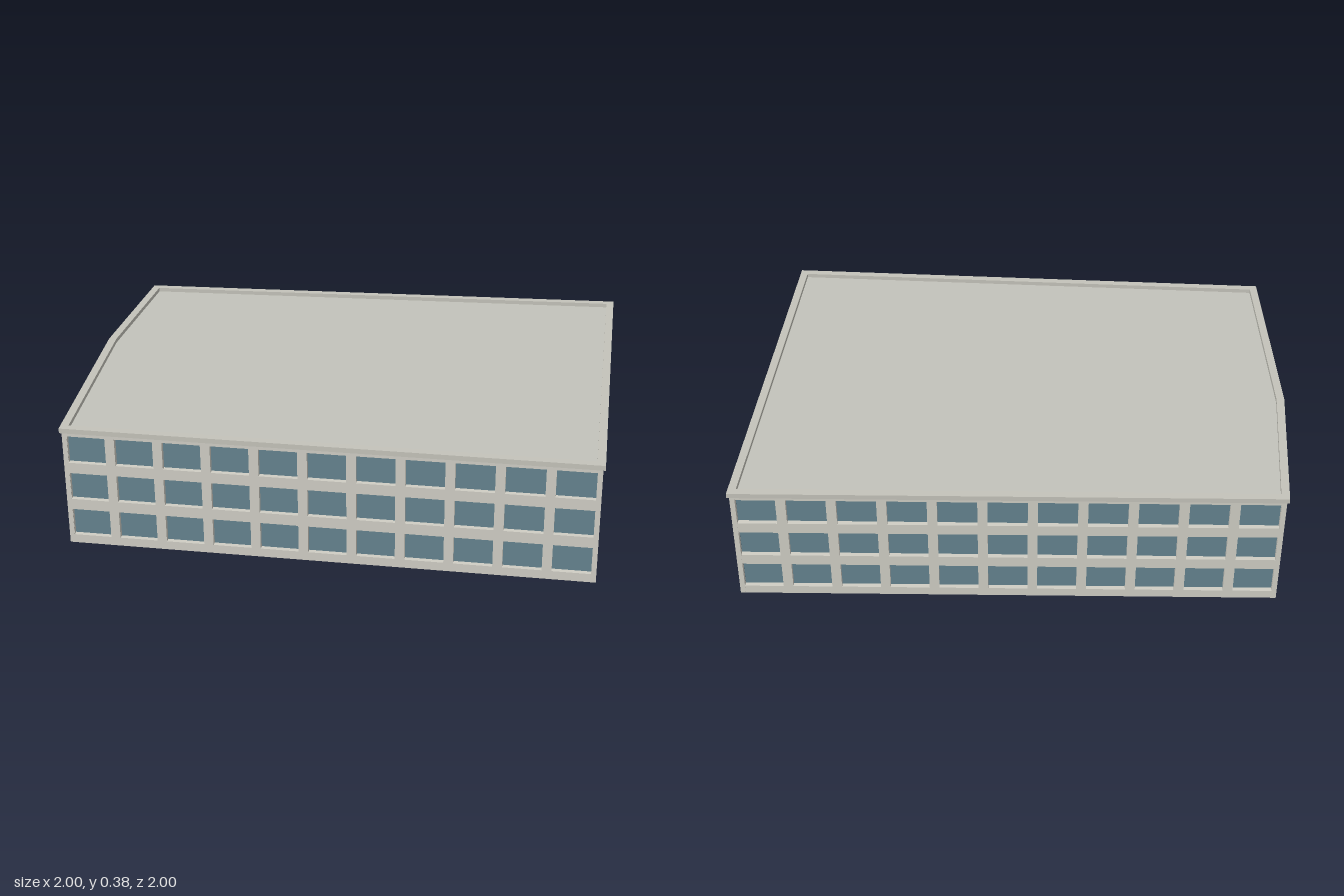
import * as THREE from 'three';

const material = (name, color, side = THREE.FrontSide) => {
  const m = new THREE.MeshStandardMaterial({ color, side });
  m.name = name;
  return m;
};

// Footprint corners (x, z) with the number of window bays on the wall that starts there
const CORNERS = [[-1, -0.19], [0.04, 1], [1, 0.16], [-0.13, -1], [-0.52, -0.68]];
const BAYS = [11, 9, 11, 3, 5];
const ROWS = [0.07, 0.19, 0.31];
const WALL_TOP = 0.365, TOP = 0.38, REVEAL = 0.015, WIN_H = 0.086, WIN_FRACTION = 0.8;

// Moves every edge of the footprint inwards by d
function inset(points, d) {
  const n = points.length;
  const inward = points.map(([x, z], i) => {
    const [x2, z2] = points[(i + 1) % n];
    const len = Math.hypot(x2 - x, z2 - z);
    return [(z2 - z) / len, -(x2 - x) / len];
  });
  return points.map(([x, z], i) => {
    const a = inward[(i + n - 1) % n], b = inward[i];
    const k = d / (1 + a[0] * b[0] + a[1] * b[1]);
    return [x + k * (a[0] + b[0]), z + k * (a[1] + b[1])];
  });
}

const toVectors = (points) => points.map(([x, z]) => new THREE.Vector2(x, -z));

function rectangle(PathType, x, y, w, h) {
  const p = new PathType();
  p.moveTo(x, y).lineTo(x + w, y).lineTo(x + w, y + h).lineTo(x, y + h).closePath();
  return p;
}

export function createModel() {
  const wallMat = material('wall stone', 0xcfcdc4, THREE.DoubleSide);
  const trimMat = material('parapet stone', 0xc4c3ba);
  const roofMat = material('roof', 0xc3c3bb, THREE.DoubleSide);
  const glassMat = material('window glass', 0x64828e, THREE.DoubleSide);

  const model = new THREE.Group();
  model.name = 'officeBuilding';
  const add = (parent, name, geometry, mat) => {
    const mesh = new THREE.Mesh(geometry, mat);
    mesh.name = name;
    parent.add(mesh);
    return mesh;
  };

  // Walls with rows of recessed windows
  const base = inset(CORNERS, 0.006);
  base.forEach(([x, z], i) => {
    const [x2, z2] = base[(i + 1) % base.length];
    const length = Math.hypot(x2 - x, z2 - z);
    const facade = new THREE.Group();
    facade.name = `facade${i + 1}`;
    facade.position.set(x, 0, z);
    facade.rotation.y = Math.atan2(z - z2, x2 - x);
    model.add(facade);

    const shape = rectangle(THREE.Shape, 0, 0, length, WALL_TOP);
    const pitch = length / BAYS[i], w = pitch * WIN_FRACTION;
    for (const y of ROWS) {
      for (let b = 0; b < BAYS[i]; b++) {
        const cx = (b + 0.5) * pitch;
        shape.holes.push(rectangle(THREE.Path, cx - w / 2, y - WIN_H / 2, w, WIN_H));
        add(facade, 'windowPane', new THREE.PlaneGeometry(w, WIN_H), glassMat)
          .position.set(cx, y, -REVEAL);
      }
    }
    const wall = new THREE.ExtrudeGeometry(shape, { depth: REVEAL, bevelEnabled: false });
    wall.translate(0, 0, -REVEAL);
    add(facade, 'wall', wall, wallMat);
  });

  // Parapet ring around the roof edge
  const ring = new THREE.Shape(toVectors(CORNERS));
  ring.holes.push(new THREE.Path(toVectors(inset(CORNERS, 0.024))));
  const parapet = new THREE.ExtrudeGeometry(ring, { depth: TOP - WALL_TOP, bevelEnabled: false });
  parapet.rotateX(-Math.PI / 2);
  add(model, 'parapet', parapet, trimMat).position.y = WALL_TOP;

  // Flat roof just below the parapet top
  const roof = new THREE.ShapeGeometry(new THREE.Shape(toVectors(inset(CORNERS, 0.01))));
  roof.rotateX(-Math.PI / 2);
  add(model, 'roof', roof, roofMat).position.y = WALL_TOP + 0.002;

  return model;
}
